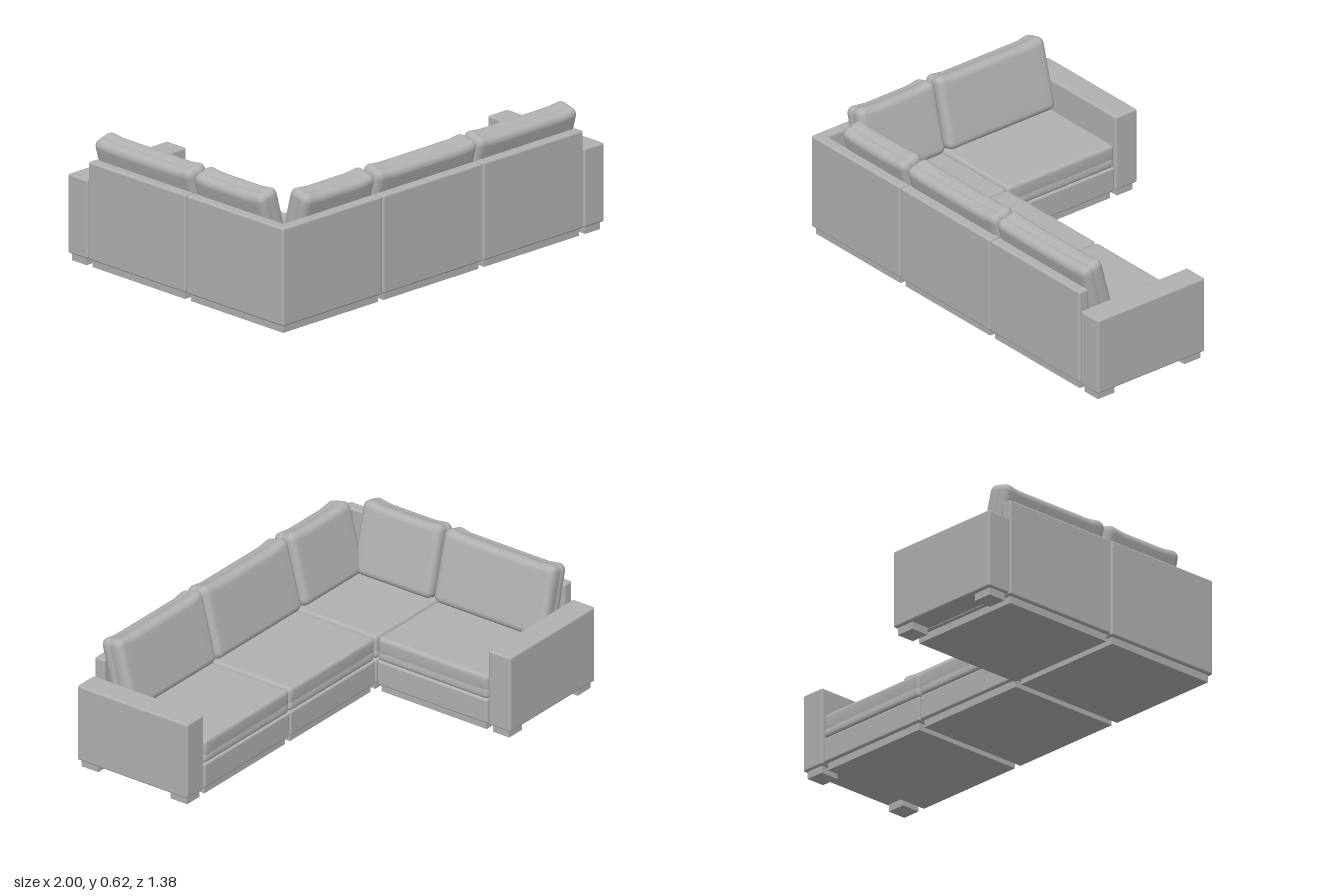
import * as THREE from 'three';
import { RoundedBoxGeometry } from 'three/addons/geometries/RoundedBoxGeometry.js';
import { mergeVertices } from 'three/addons/utils/BufferGeometryUtils.js';

const fabric = new THREE.MeshStandardMaterial({ color: 0xb0b0b0 });
fabric.name = 'grey fabric';

const SIZE = 0.62;      // width and depth of one seat module
const FLOOR_GAP = 0.035; // height of plinths and feet

function add(parent, name, geometry, x, y, z) {
  const mesh = new THREE.Mesh(geometry, fabric);
  mesh.name = name;
  mesh.position.set(x, y, z);
  parent.add(mesh);
  return mesh;
}

const panel = (w, h, d) => new RoundedBoxGeometry(w, h, d, 3, 0.01);

// Grid lines along one axis: dense in the rounded ends, plus any inner lines
function gridLines(half, r, inner) {
  const ends = [0, 0.15, 0.4, 0.7, 1].map((t) => half - r * t);
  return [...ends.map((v) => -v), ...inner, ...ends.reverse()];
}

// Rounded cushion with a stitched groove round its edge at depth z = seam;
// sag lowers the middle of the top edge between its two corners
function cushionGeometry(w, h, d, r, seam, sag = 0) {
  const half = [w / 2, h / 2, d / 2];
  const groove = 0.005;
  const lines = [
    gridLines(half[0], r, [-0.8, -0.6, -0.3, 0, 0.3, 0.6, 0.8].map((t) => t * (half[0] - r))),
    gridLines(half[1], r, [-0.5, 0, 0.5].map((t) => t * (half[1] - r))),
    gridLines(half[2], r, [seam - groove, seam, seam + groove]),
  ];
  const n = lines.map((l) => l.length - 1);
  let geo = new THREE.BoxGeometry(1, 1, 1, ...n);
  const pos = geo.attributes.position;
  const p = new THREE.Vector3(), core = new THREE.Vector3(), dir = new THREE.Vector3();
  const limit = new THREE.Vector3(...half).subScalar(r);
  const low = limit.clone().negate();
  for (let i = 0; i < pos.count; i++) {
    p.fromBufferAttribute(pos, i);
    p.set(...p.toArray().map((v, a) => lines[a][Math.round((v + 0.5) * n[a])]));
    core.copy(p).clamp(low, limit);
    dir.copy(p).sub(core).normalize();
    const pinch = Math.max(0, 1 - Math.abs(p.z - seam) / groove) * 0.006;
    p.copy(core).addScaledVector(dir, r - pinch);
    const fromEnd = THREE.MathUtils.smoothstep(half[0] - Math.abs(p.x), 0.03, 0.1);
    p.y -= sag * fromEnd * THREE.MathUtils.smoothstep(p.y, 0, half[1]);
    pos.setXYZ(i, p.x, p.y, p.z);
  }
  geo.deleteAttribute('normal');
  geo.deleteAttribute('uv');
  geo = mergeVertices(geo, 1e-5);
  geo.computeVertexNormals();
  return geo;
}

// Upright back panel with a leaning cushion, at the +z side of a module
function addBackrest(parent, cushionWidth, cushionX) {
  add(parent, 'backPanel', panel(SIZE, 0.465, 0.055), 0, 0.2675, SIZE / 2 - 0.0275);
  const cushion = add(parent, 'backCushion',
    cushionGeometry(cushionWidth, 0.348, 0.12, 0.034, 0.006, 0.009), cushionX, 0.44, 0.187);
  // Local front of the cushion faces -z, leaning back towards +z
  cushion.rotation.x = 0.26;
}

// Plinth, base and seat cushion; a corner module has backs on two sides
function seatModule(name, x, z, turn, corner) {
  const module = new THREE.Group();
  module.name = name;
  module.position.set(x, 0, z);
  module.rotation.y = turn;
  add(module, 'plinth', new THREE.BoxGeometry(0.59, FLOOR_GAP + 0.01, 0.59), 0, (FLOOR_GAP + 0.01) / 2, 0);
  add(module, 'seatBase', panel(SIZE, 0.122, SIZE - 0.01), 0, 0.096, -0.005);
  const inset = corner ? 0.055 : 0;
  const seat = add(module, 'seatCushion',
    cushionGeometry(SIZE - inset, SIZE - 0.055, 0.118, 0.02, -0.014), inset / 2, 0.215, -0.0275);
  seat.rotation.x = -Math.PI / 2;
  if (corner) {
    addBackrest(module, 0.44, 0.08);
    const side = new THREE.Group();
    side.name = 'sideBackrest';
    side.rotation.y = -Math.PI / 2;
    addBackrest(side, 0.44, -0.08);
    module.add(side);
  } else {
    addBackrest(module, SIZE, 0);
  }
  return module;
}

// Arm block standing on two feet
function armrest(name, x, z, turn) {
  const arm = new THREE.Group();
  arm.name = name;
  arm.position.set(x, 0, z);
  arm.rotation.y = turn;
  add(arm, 'armBlock', panel(0.124, 0.375, SIZE), 0, 0.2225, 0);
  for (const s of [-1, 1]) {
    add(arm, 'armFoot', new THREE.BoxGeometry(0.092, FLOOR_GAP + 0.01, 0.095), 0, (FLOOR_GAP + 0.01) / 2, s * 0.25);
  }
  return arm;
}

export function createModel() {
  const sofa = new THREE.Group();
  sofa.name = 'cornerSofa';
  const quarter = -Math.PI / 2;
  sofa.add(
    seatModule('cornerSeat', -0.69, 0.378, 0, true),
    seatModule('middleSeat', -0.065, 0.378, 0, false),
    seatModule('endSeat', 0.56, 0.378, 0, false),
    seatModule('sideSeat', -0.69, -0.248, quarter, false),
    armrest('leftArm', 0.938, 0.378, 0),
    armrest('sideArm', -0.69, -0.626, quarter),
  );
  return sofa;
}
